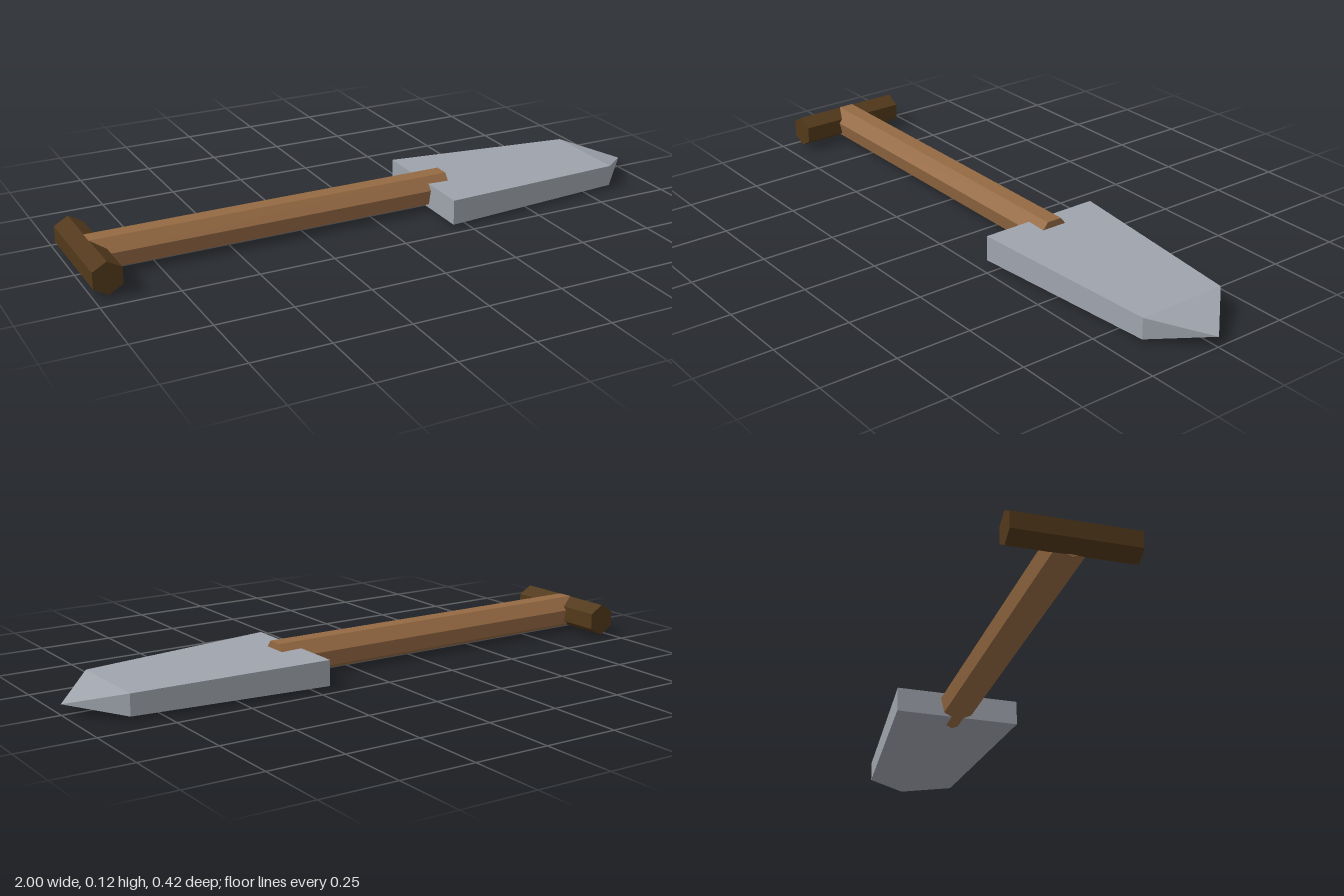
import * as THREE from 'three';

const wood = new THREE.MeshStandardMaterial({ color: 0x956a43 });
wood.name = 'shaftWood';
const darkWood = new THREE.MeshStandardMaterial({ color: 0x52391b });
darkWood.name = 'gripDarkWood';
const steel = new THREE.MeshStandardMaterial({ color: 0x9fa4ad });
steel.name = 'bladeSteel';

function addMesh(group, name, geometry, material) {
  const flat = geometry.index ? geometry.toNonIndexed() : geometry;
  flat.computeVertexNormals();
  const mesh = new THREE.Mesh(flat, material);
  mesh.name = name;
  group.add(mesh);
  return mesh;
}

// Prism along +z from a regular polygon; the first corner sits at angle start
function prism(sides, radius, length, start) {
  const points = [];
  for (let i = 0; i < sides; i++) {
    const a = start + (i / sides) * Math.PI * 2;
    points.push(new THREE.Vector2(Math.cos(a) * radius, Math.sin(a) * radius));
  }
  return new THREE.ExtrudeGeometry(new THREE.Shape(points), { depth: length, bevelEnabled: false })
    .translate(0, 0, -length / 2);
}

// Rectangular sections narrowing towards a single tip point
function bladeGeometry() {
  const sections = [
    { x: 0.197, w: 0.21, bottom: 0.013, top: 0.097 },
    { x: 0.85, w: 0.153, bottom: 0.013, top: 0.083 },
  ];
  const [back, front] = sections.map(({ x, w, bottom, top }) => [
    [x, bottom, w], [x, bottom, -w], [x, top, -w], [x, top, w],
  ]);
  const tip = [1, 0.037, 0];
  const positions = [];
  const tri = (...corners) => corners.forEach((c) => positions.push(...c));
  for (let i = 0; i < 4; i++) {
    const j = (i + 1) % 4;
    tri(back[i], back[j], front[j]);
    tri(back[i], front[j], front[i]);
    tri(front[i], front[j], tip);
  }
  // closed rear end
  tri(back[0], back[2], back[1]);
  tri(back[0], back[3], back[2]);
  const geometry = new THREE.BufferGeometry();
  geometry.setAttribute('position', new THREE.Float32BufferAttribute(positions, 3));
  return geometry;
}

export function createModel() {
  const group = new THREE.Group();
  group.name = 'shovel';

  // Seven-sided shaft, one edge down
  const shaft = prism(7, 0.0605, 1.225, -Math.PI / 2).rotateY(Math.PI / 2).translate(-0.3425, 0.0635, 0);
  addMesh(group, 'shaft', shaft, wood);

  // Six-sided cross grip, one edge up
  const grip = prism(6, 0.0535, 0.385, Math.PI / 2).translate(-0.9537, 0.0635, 0);
  addMesh(group, 'grip', grip, darkWood);

  addMesh(group, 'blade', bladeGeometry(), steel);
  return group;
}
